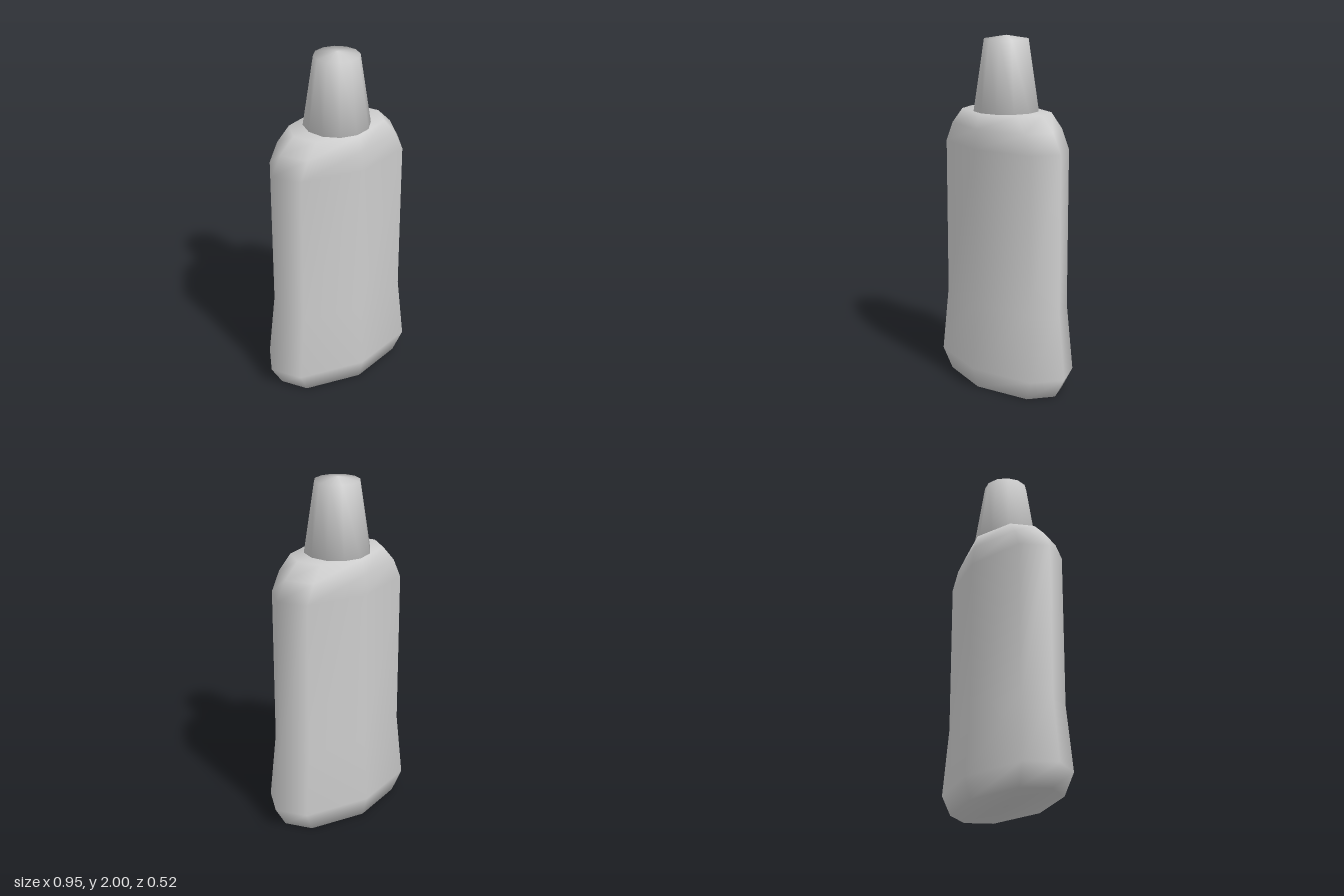
import * as THREE from 'three';

const material = new THREE.MeshStandardMaterial({ color: 0xcccccc });

// Eight-sided, smooth-shaded shell from rings of [y, half width, half depth], closed at both ends
function loftBody(levels) {
  const outline = [[0, 1], [0.8, 0.635], [1, 0], [0.8, -0.635], [0, -1], [-0.8, -0.635], [-1, 0], [-0.8, 0.635]];
  const n = outline.length;
  const positions = [];
  const index = [];
  for (const [y, w, d] of levels) {
    for (const [x, z] of outline) positions.push(x * w, y, z * d);
  }
  const last = (levels.length - 1) * n;
  const bottom = levels.length * n;
  const top = bottom + 1;
  positions.push(0, levels[0][0], 0, 0, levels[levels.length - 1][0], 0);
  for (let j = 0; j < n; j++) {
    const k = (j + 1) % n;
    for (let r = 0; r < last; r += n) {
      index.push(r + j, r + k, r + n + k, r + j, r + n + k, r + n + j);
    }
    index.push(bottom, k, j, top, last + j, last + k);
  }
  const geometry = new THREE.BufferGeometry();
  geometry.setAttribute('position', new THREE.Float32BufferAttribute(positions, 3));
  geometry.setIndex(index);
  geometry.computeVertexNormals();
  return geometry;
}

export function createModel() {
  const group = new THREE.Group();
  group.name = 'bottle';

  // Flattened bottle with a flared foot and sloping shoulders
  const body = new THREE.Mesh(loftBody([
    [0, 0.405, 0.225],
    [0.12, 0.475, 0.26],
    [0.5, 0.43, 0.235],
    [1.39, 0.43, 0.235],
    [1.5, 0.37, 0.225],
    [1.585, 0.285, 0.2],
  ]), material);
  body.name = 'body';
  group.add(body);

  // Twelve-sided tapered cap with a shallow pointed top
  const profile = [[0, 1.585], [0.186, 1.585], [0.126, 1.98], [0, 2]].map(([r, y]) => new THREE.Vector2(r, y));
  const cap = new THREE.Mesh(new THREE.LatheGeometry(profile, 12), material);
  cap.name = 'cap';
  group.add(cap);

  return group;
}
